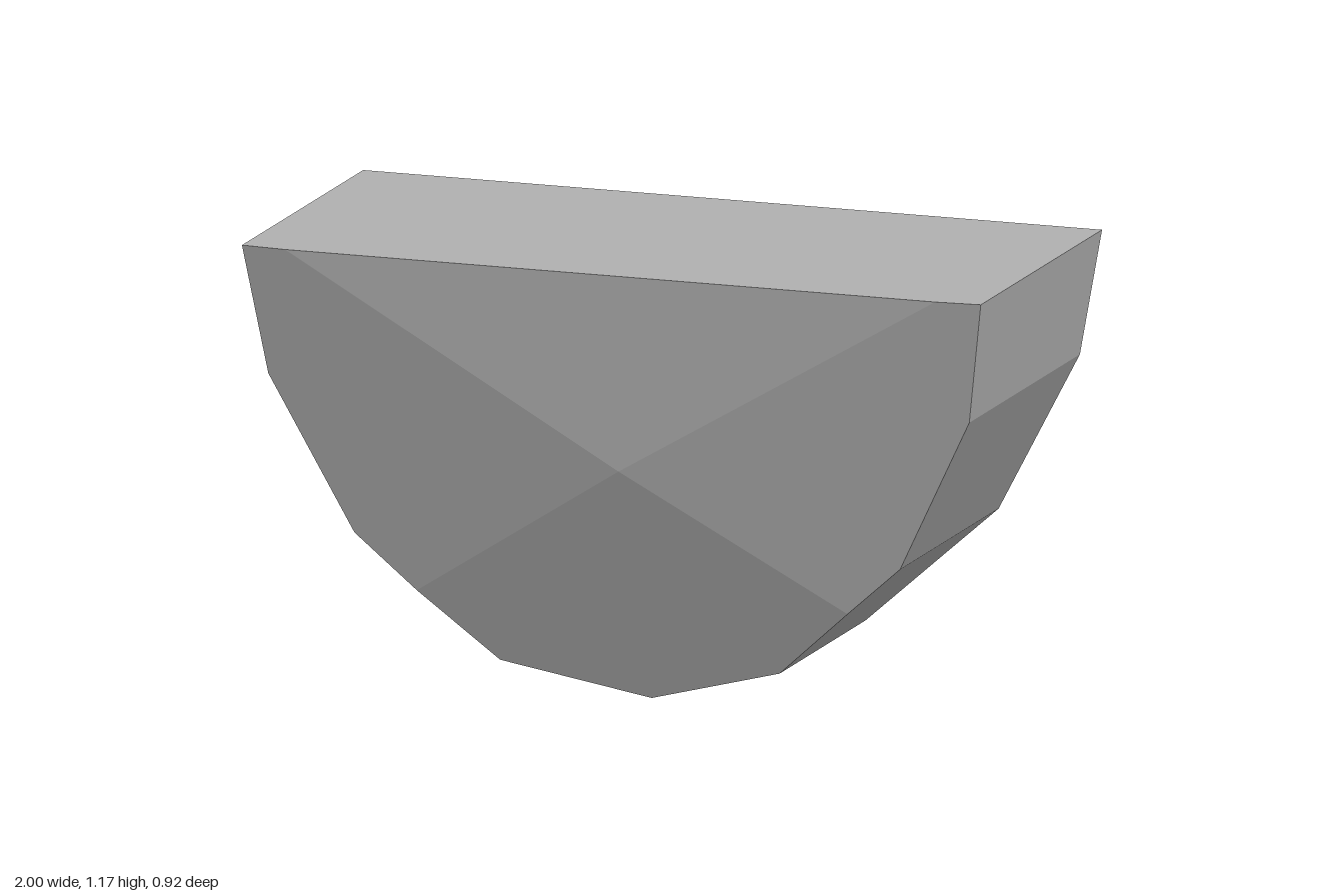
import * as THREE from 'three';

// Outline of the block seen from the front, counter-clockwise
const OUTLINE = [
  [1, 1.17], [0.88, 1.17], [-0.88, 1.17], [-1, 1.17], [-0.96, 0.82],
  [-0.76, 0.4], [-0.6, 0.256], [-0.4, 0.075], [0, 0], [0.36, 0.1],
  [0.57, 0.287], [0.72, 0.42], [0.94, 0.84],
];
const BACK = -0.46;
const APEX = [0, 0.645, 0.395];

// The front is cut by four planes meeting at the apex
function frontZ(x, y) {
  const dy = y - APEX[1];
  return APEX[2] + Math.min(0.12 * dy, 0.386 * dy, 0.257 * dy - 0.0817 * Math.abs(x));
}

function facetedMesh(name, triangles, material) {
  const geometry = new THREE.BufferGeometry();
  geometry.setAttribute('position', new THREE.Float32BufferAttribute(triangles.flat(2), 3));
  geometry.computeVertexNormals();
  const mesh = new THREE.Mesh(geometry, material);
  mesh.name = name;
  return mesh;
}

export function createModel() {
  const grey = new THREE.MeshStandardMaterial({ color: 0xb0b0b0 });
  grey.name = 'stone grey';

  const front = OUTLINE.map(([x, y]) => [x, y, frontZ(x, y)]);
  const back = OUTLINE.map(([x, y]) => [x, y, BACK]);
  const backCentre = [0, APEX[1], BACK];
  const frontFacets = [], backFace = [], rim = [];

  // Fans close the front and back; quads join them around the outline
  OUTLINE.forEach((_, i) => {
    const j = (i + 1) % OUTLINE.length;
    frontFacets.push([APEX, front[i], front[j]]);
    backFace.push([backCentre, back[j], back[i]]);
    rim.push([front[i], back[i], back[j]], [front[i], back[j], front[j]]);
  });

  const group = new THREE.Group();
  group.name = 'facetedHalfRoundBlock';
  group.add(
    facetedMesh('frontFacets', frontFacets, grey),
    facetedMesh('backFace', backFace, grey),
    facetedMesh('rimAndTop', rim, grey),
  );
  return group;
}
